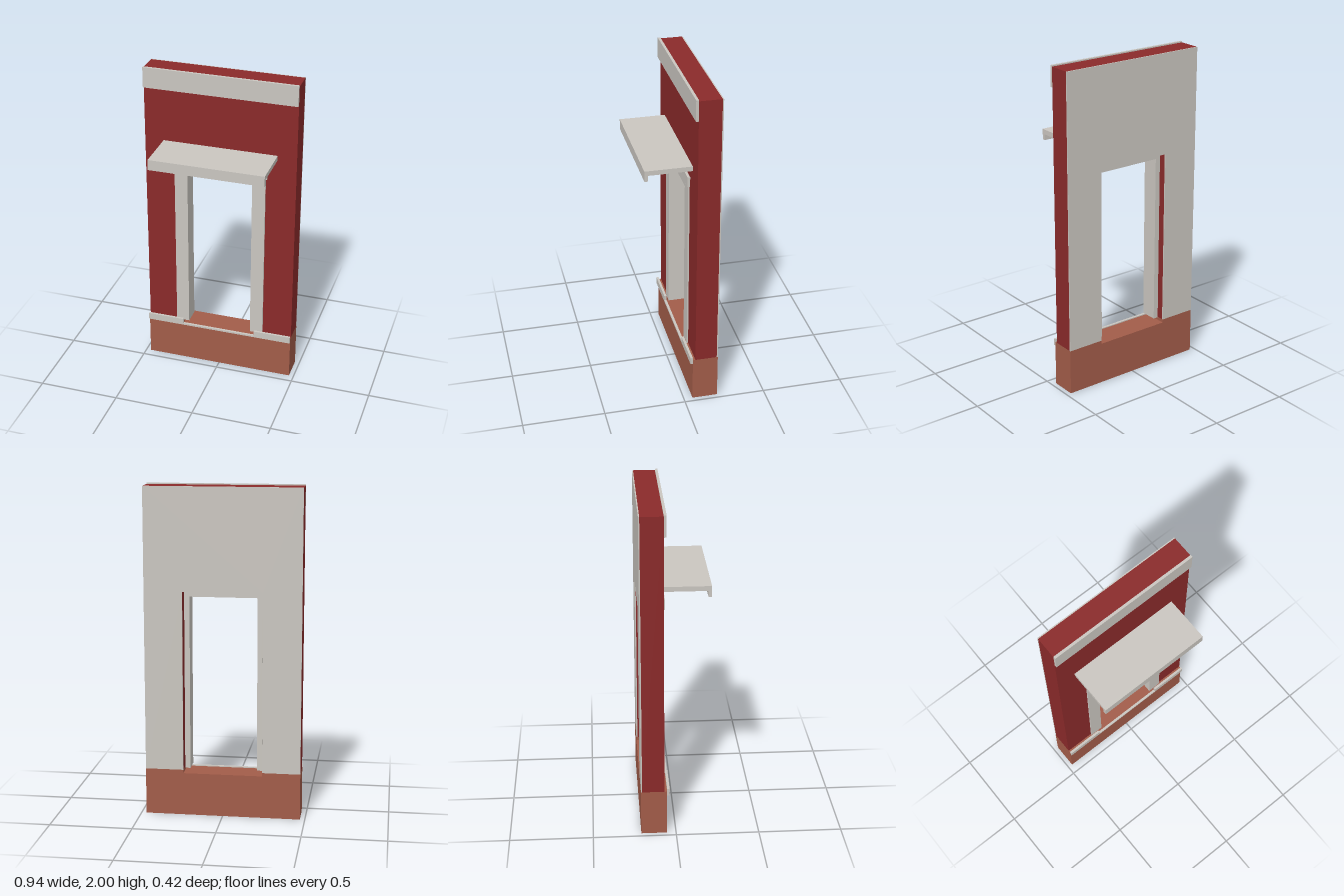
import * as THREE from 'three';

export function createModel() {
  const mat = (name, color) => {
    const m = new THREE.MeshStandardMaterial({ color });
    m.name = name;
    return m;
  };
  const red = mat('red wall', 0x8a2a2a);
  const stone = mat('pale stone', 0xcac6c0);
  const clay = mat('terracotta', 0xa25c49);

  const model = new THREE.Group();
  model.name = 'doorwayWall';
  const W = 0.47, BACK = -0.21;
  const DOOR = 0.24, HEAD = 1.375, FOOT = 0.283, TOP = 1.993;

  // Box given by its extents on each axis
  const box = (name, material, [x0, x1], [y0, y1], [z0, z1]) => {
    const mesh = new THREE.Mesh(new THREE.BoxGeometry(x1 - x0, y1 - y0, z1 - z0), material);
    mesh.position.set((x0 + x1) / 2, (y0 + y1) / 2, (z0 + z1) / 2);
    mesh.name = name;
    model.add(mesh);
  };

  // Outline in x and y, extruded from z0 to z1
  const slab = (name, material, points, z0, z1) => {
    const shape = new THREE.Shape(points.map(([x, y]) => new THREE.Vector2(x, y)));
    const geometry = new THREE.ExtrudeGeometry(shape, { depth: z1 - z0, bevelEnabled: false });
    const mesh = new THREE.Mesh(geometry, material);
    mesh.position.z = z0;
    mesh.name = name;
    model.add(mesh);
  };

  // Arch of straight sides: open at the bottom
  const portal = (outer, top, inner, head, foot) => [
    [-outer, foot], [-inner, foot], [-inner, head], [inner, head],
    [inner, foot], [outer, foot], [outer, top], [-outer, top],
  ];
  // Bar with a lowered middle
  const notched = (half, bottom, top, notch, floor) => [
    [-half, bottom], [half, bottom], [half, top], [notch, top],
    [notch, floor], [-notch, floor], [-notch, top], [-half, top],
  ];

  // Wall, inner plaster and plinth
  slab('wall', red, portal(W, TOP, DOOR, HEAD, FOOT), -0.203, -0.07);
  slab('backPlaster', stone, portal(W, TOP, DOOR, HEAD, FOOT), BACK, -0.203);
  slab('plinth', clay, notched(W, 0, FOOT, DOOR, 0.262), BACK, -0.054);

  // Plinth moulding, dropping to a thin strip at the threshold
  slab('plinthTrim', stone, notched(W, 0.257, 0.3, 0.235, 0.268), -0.054, -0.039);

  // Top band
  box('cornice', stone, [-W, W], [1.873, 2], [-0.07, -0.054]);

  // Door frame: deep lining and flat casing on the wall face
  slab('doorLining', stone, portal(0.235, 1.37, 0.203, 1.34, FOOT), -0.165, -0.07);
  slab('doorCasing', stone, portal(0.285, 1.39, 0.203, 1.34, FOOT), -0.07, -0.061);
  box('doorHeadMoulding', stone, [-0.295, 0.295], [1.38, 1.443], [-0.07, -0.054]);
  box('headDrip', stone, [-0.235, 0.235], [1.372, 1.38], [-0.061, -0.054]);

  // Canopy with a hanging front lip
  box('canopySlab', stone, [-0.353, 0.353], [1.512, 1.541], [-0.07, 0.19]);
  box('canopyLip', stone, [-0.353, 0.353], [1.476, 1.541], [0.19, 0.21]);

  return model;
}
